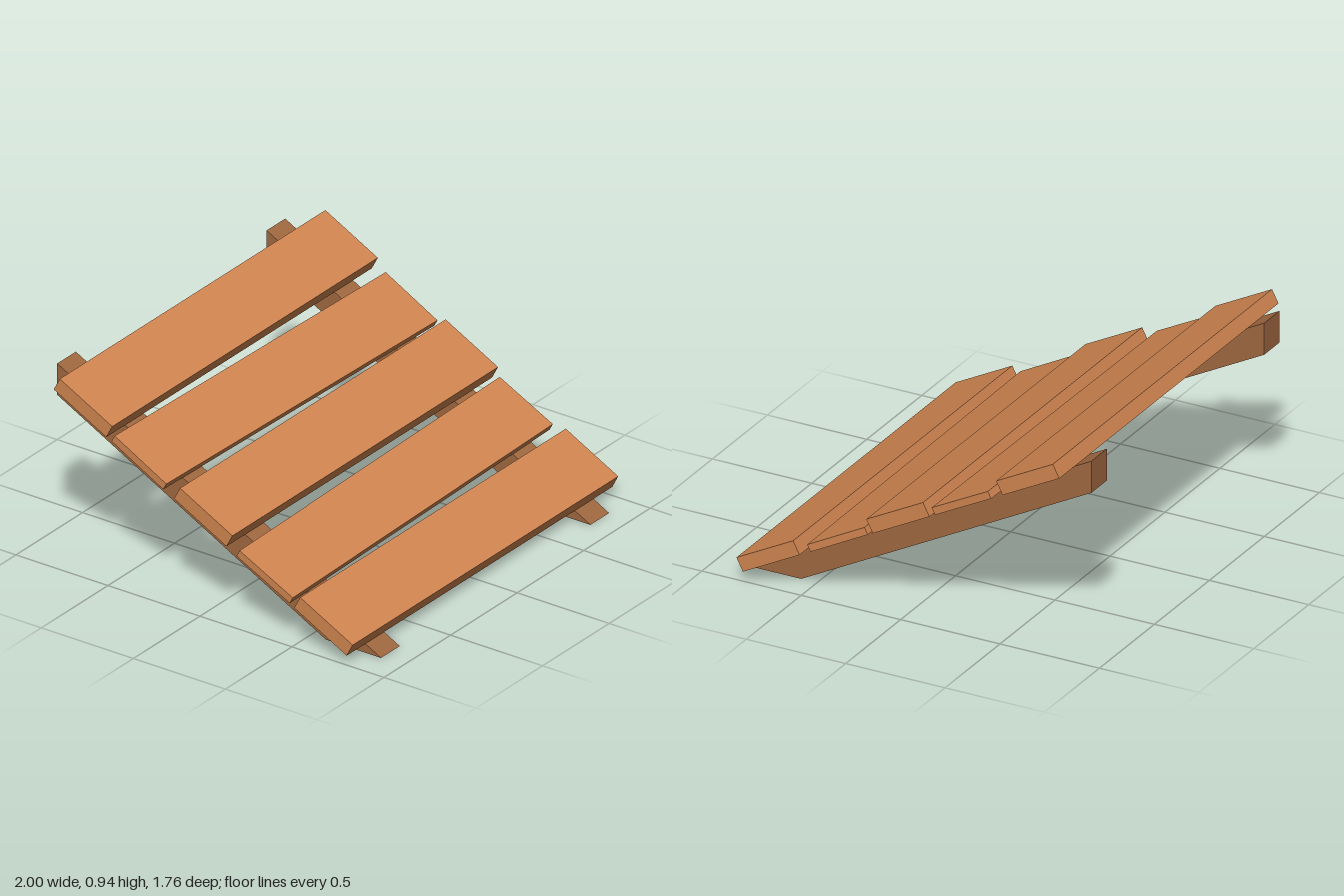
import * as THREE from 'three';

const plankMaterial = new THREE.MeshStandardMaterial({ color: 0xd08550, flatShading: true });
const beamMaterial = new THREE.MeshStandardMaterial({ color: 0xa06840, flatShading: true });

const FOOT_Z = 0.88;   // front tip of the beams
const TOP_Y = 0.925;   // height of the beams at the back
const slope = Math.atan2(TOP_Y, 2 * FOOT_Z);

// Sloping beam: foot cut level with the ground, back end cut upright
function makeBeam(side) {
  const profile = new THREE.Shape([
    new THREE.Vector2(-FOOT_Z, 0),
    new THREE.Vector2(-0.58, 0),
    new THREE.Vector2(FOOT_Z, 0.77),
    new THREE.Vector2(FOOT_Z, TOP_Y),
  ]);
  const width = 0.14;
  const geometry = new THREE.ExtrudeGeometry(profile, { depth: width, bevelEnabled: false });
  geometry.translate(0, 0, -width / 2);
  geometry.rotateY(Math.PI / 2);
  const beam = new THREE.Mesh(geometry, beamMaterial);
  beam.position.x = side * 0.786;
  beam.name = side > 0 ? 'leftBeam' : 'rightBeam';
  return beam;
}

export function createModel() {
  const model = new THREE.Group();
  model.name = 'slopedPlankRamp';
  for (const side of [-1, 1]) model.add(makeBeam(side));

  // Planks lie on the beams, measured uphill from the foot
  const planks = new THREE.Group();
  planks.name = 'planks';
  planks.position.z = FOOT_Z;
  planks.rotation.x = slope;
  for (let i = 0; i < 5; i++) {
    const thin = i % 2 === 1; // every second plank is thinner and slightly skewed
    const thickness = thin ? 0.036 : 0.07;
    const plank = new THREE.Mesh(new THREE.BoxGeometry(1.994, thickness, 0.322), plankMaterial);
    plank.position.set(0, thickness / 2, -(0.257 + i * 0.369));
    if (thin) plank.rotation.y = i === 1 ? 0.017 : -0.017;
    plank.name = `plank${i + 1}`;
    planks.add(plank);
  }
  model.add(planks);
  return model;
}
